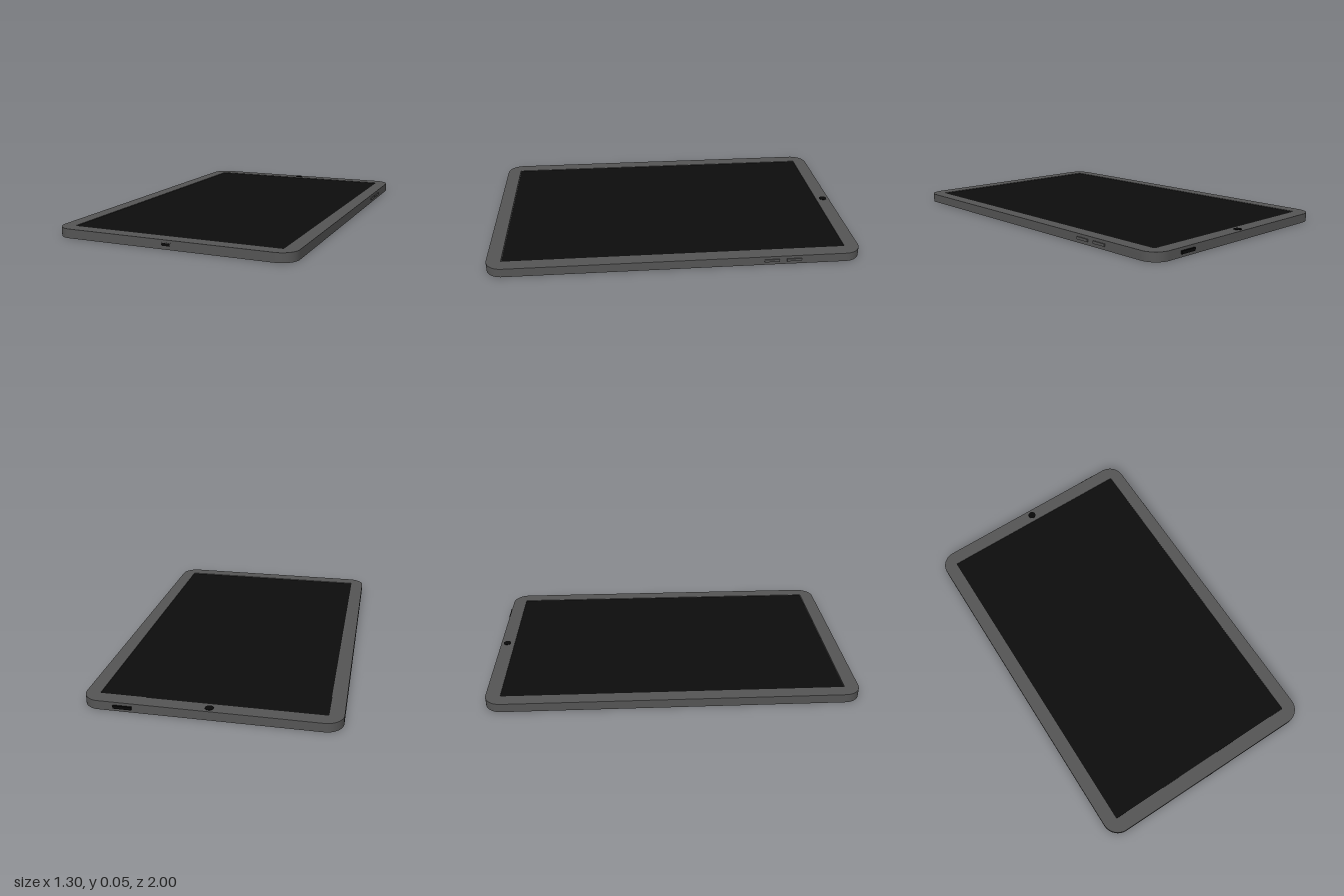
import * as THREE from 'three';
import { toCreasedNormals } from 'three/addons/utils/BufferGeometryUtils.js';

const material = (name, color) => {
  const m = new THREE.MeshStandardMaterial({ color });
  m.name = name;
  return m;
};

// Rounded rectangle centred on (0, 0)
function roundedRect(target, w, d, r) {
  const x = w / 2, y = d / 2;
  target.moveTo(x, -y + r);
  target.lineTo(x, y - r);
  target.absarc(x - r, y - r, r, 0, Math.PI / 2, false);
  target.lineTo(-x + r, y);
  target.absarc(-x + r, y - r, r, Math.PI / 2, Math.PI, false);
  target.lineTo(-x, -y + r);
  target.absarc(-x + r, -y + r, r, Math.PI, Math.PI * 1.5, false);
  target.lineTo(x - r, -y);
  target.absarc(x - r, -y + r, r, Math.PI * 1.5, Math.PI * 2, false);
  return target;
}

// Flat shape raised from y to y + height
function slab(shape, y, height) {
  const g = new THREE.ExtrudeGeometry(shape, { depth: height, bevelEnabled: false, curveSegments: 10 });
  g.rotateX(-Math.PI / 2).translate(0, y, 0);
  return toCreasedNormals(g, 0.5);
}

export function createModel() {
  const grey = material('casing grey', 0x555555);
  const black = material('glass black', 0x0d0d0d);
  const dark = material('button black', 0x080808);
  const group = new THREE.Group();
  const add = (name, geometry, mat, x = 0, y = 0, z = 0) => {
    const mesh = new THREE.Mesh(geometry, mat);
    mesh.name = name;
    mesh.position.set(x, y, z);
    group.add(mesh);
    return mesh;
  };

  const W = 1.29, D = 1.99, H = 0.048, R = 0.09;
  const cx = -0.003, cz = 0.005;
  const lip = 0.006;

  // Casing: solid back and a raised bezel around the display
  add('casing', slab(roundedRect(new THREE.Shape(), W, D, R), 0, H - lip), grey, cx, 0, cz);
  const ring = roundedRect(new THREE.Shape(), W, D, R);
  ring.holes.push(roundedRect(new THREE.Path(), 1.14, 1.834, 0.006));
  add('bezel', slab(ring, H - lip, lip), grey, cx, 0, cz);

  // Display set just below the bezel
  add('screen', new THREE.BoxGeometry(1.14, 0.003, 1.834), black, cx, H - lip + 0.0015, cz - 0.003);

  // Front camera
  add('camera', new THREE.CylinderGeometry(0.022, 0.022, 0.004, 16), dark, cx, H, -0.955);

  // Charging port: rim and opening
  add('portRim', new THREE.BoxGeometry(0.062, 0.02, 0.003), grey, cx, 0.025, 0.9995);
  const opening = slab(roundedRect(new THREE.Shape(), 0.046, 0.014, 0.006), 0, 0.003);
  add('portOpening', opening, dark, cx, 0.025, 0.999).rotation.x = Math.PI / 2;

  // Power button on the back edge
  add('powerButton', new THREE.BoxGeometry(0.095, 0.016, 0.02), dark, 0.426, 0.025, -0.989);

  // Volume buttons on the left edge
  for (const z of [-0.62, -0.5]) {
    add('volumeButton', new THREE.BoxGeometry(0.014, 0.014, 0.08), grey, 0.641, 0.025, z);
  }
  return group;
}
